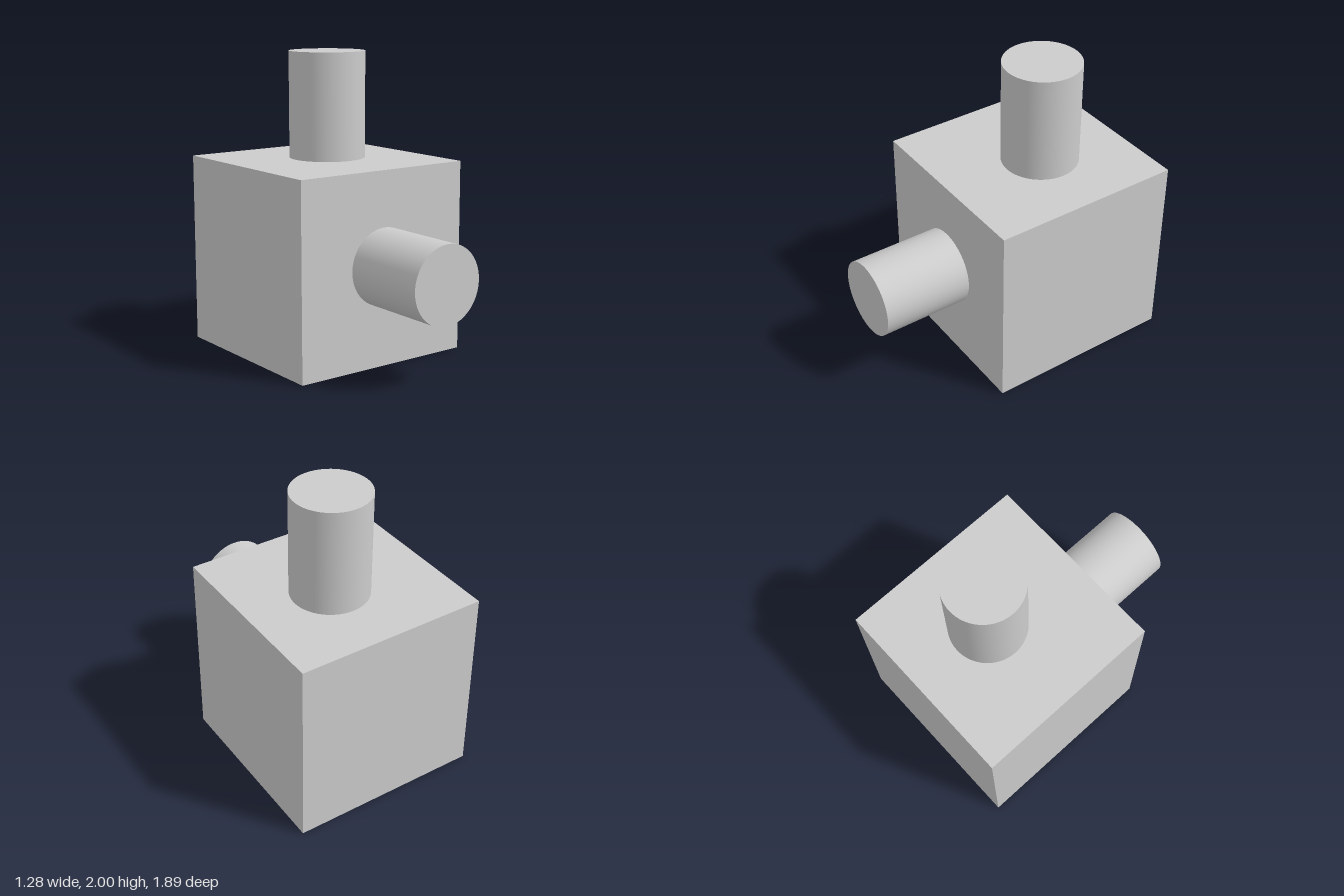
import * as THREE from 'three';

export function createModel() {
  const model = new THREE.Group();
  const material = new THREE.MeshStandardMaterial({ color: 0xcccccc });
  const size = 1.285, radius = 0.256, backZ = -0.945, frontZ = 0.945, topY = 2;

  const add = (name, geometry, x, y, z) => {
    const mesh = new THREE.Mesh(geometry, material);
    mesh.name = name;
    mesh.position.set(x, y, z);
    model.add(mesh);
    return mesh;
  };
  const peg = (length) => new THREE.CylinderGeometry(radius, radius, length, 64);

  // Cube body standing on the ground
  const faceZ = backZ + size;
  add('body', new THREE.BoxGeometry(size, size, size), 0, size / 2, backZ + size / 2);

  // Upright peg, slightly off centre on the top face
  add('topPeg', peg(topY - size), 0.058, (topY + size) / 2, -0.352);

  // Horizontal peg on the front face
  add('frontPeg', peg(frontZ - faceZ), 0, 0.66, (frontZ + faceZ) / 2).rotation.x = Math.PI / 2;

  return model;
}
